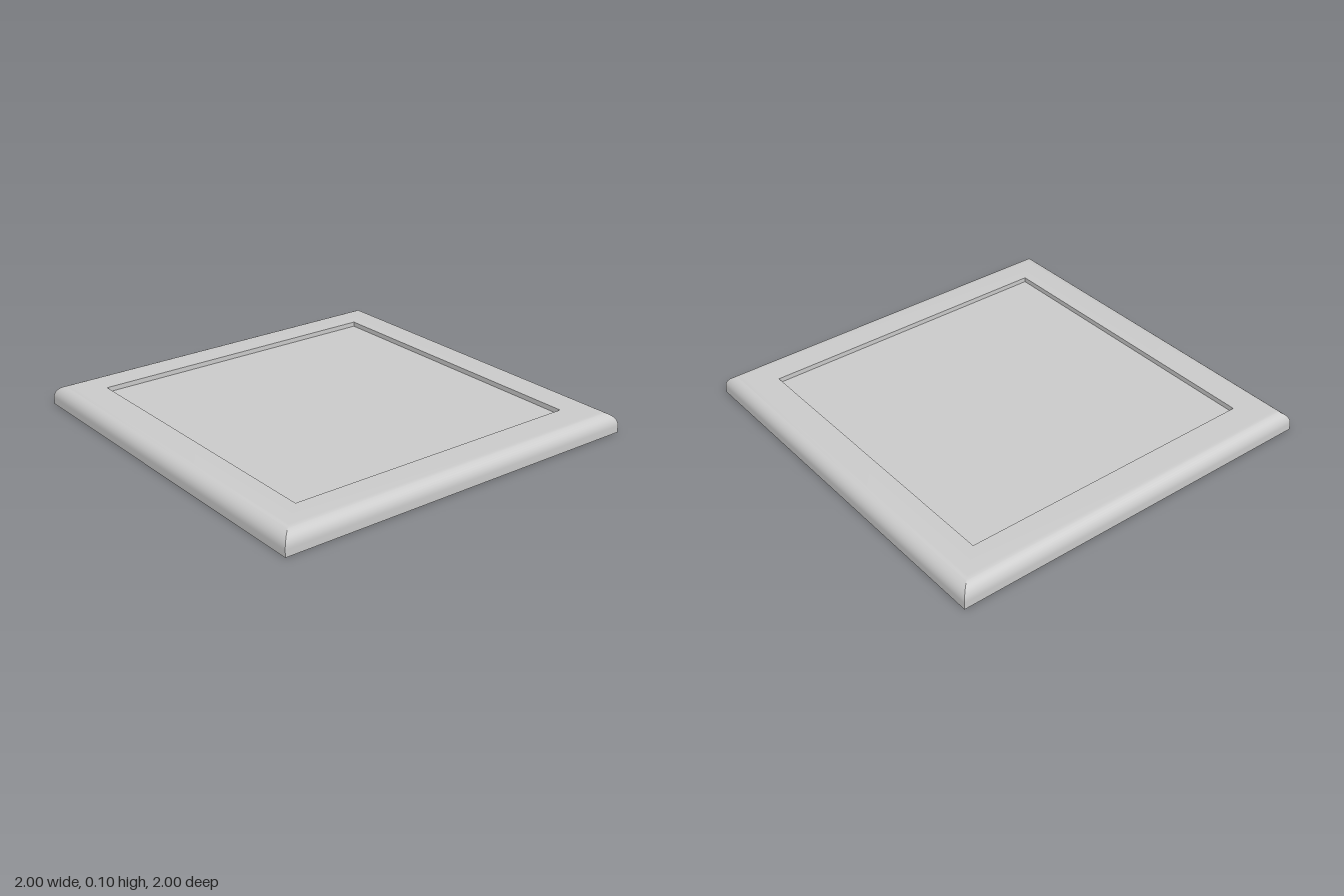
import * as THREE from 'three';
import { toCreasedNormals } from 'three/addons/utils/BufferGeometryUtils.js';

const HEIGHT = 0.103, ROUND = 0.068, INNER = 0.8, DEPTH = 0.025;

export function createModel() {
  const group = new THREE.Group();
  group.name = 'recessedTile';
  const material = new THREE.MeshStandardMaterial({ color: 0xcccccc });

  // Half section: underside, rounded outer edge, flat rim, recess wall
  const profile = [[0, 0], [1, 0]];
  const steps = 10;
  for (let i = 0; i <= steps; i++) {
    const a = (i / steps) * Math.PI / 2;
    profile.push([1 - ROUND + ROUND * Math.cos(a), HEIGHT - ROUND + ROUND * Math.sin(a)]);
  }
  profile.push([INNER, HEIGHT], [INNER, HEIGHT - DEPTH]);

  // Four-sided lathe gives a square frame with mitred corners
  const points = profile.map(([r, y]) => new THREE.Vector2(r * Math.SQRT2, y));
  const frameGeometry = new THREE.LatheGeometry(points, 4, Math.PI / 4);
  const frame = new THREE.Mesh(toCreasedNormals(frameGeometry, 0.35), material);
  frame.name = 'frame';
  group.add(frame);

  // Sunken panel floor
  const panelGeometry = new THREE.PlaneGeometry(INNER * 2, INNER * 2).rotateX(-Math.PI / 2);
  const panel = new THREE.Mesh(panelGeometry, material);
  panel.name = 'panel';
  panel.position.y = HEIGHT - DEPTH;
  group.add(panel);

  return group;
}
